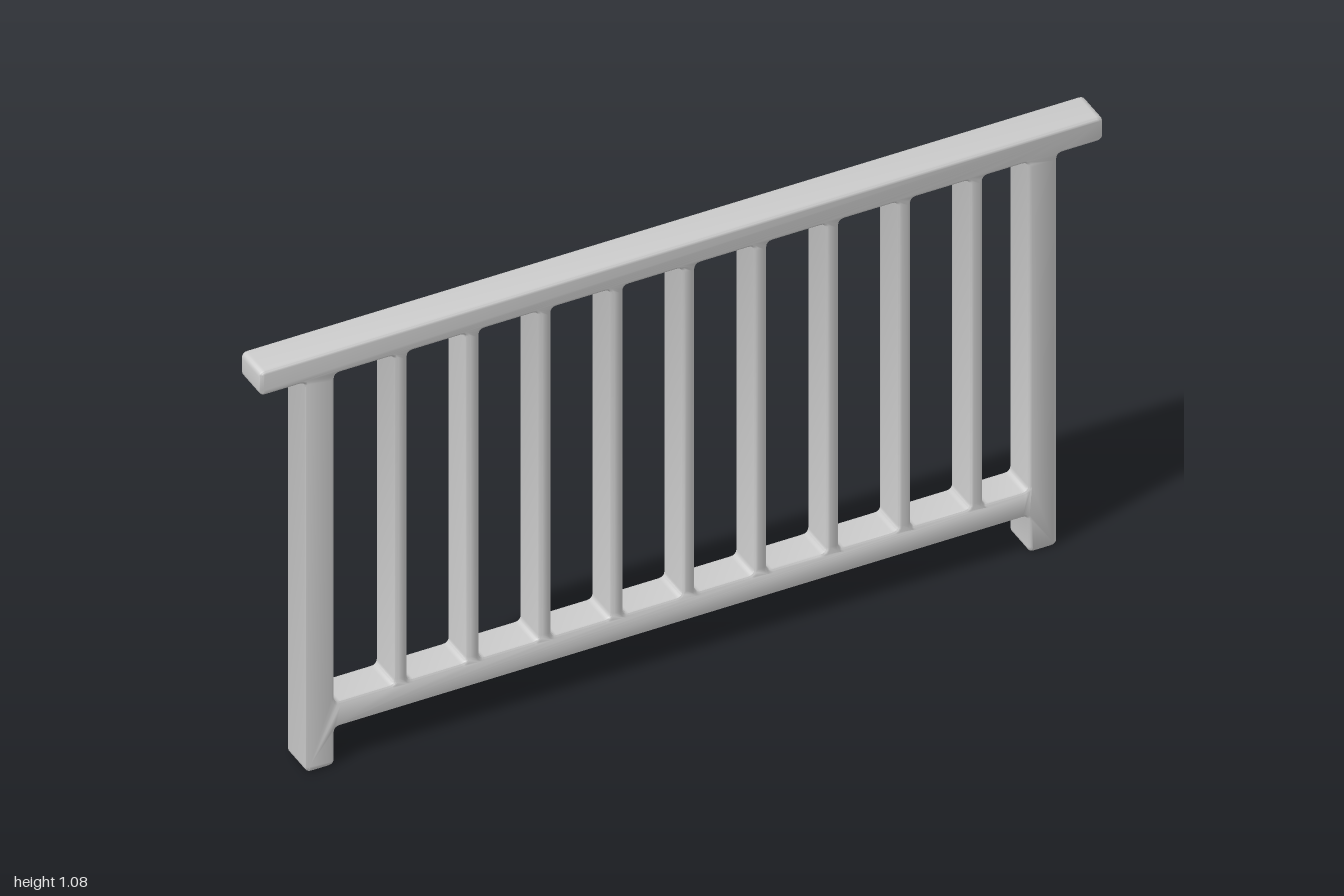
import * as THREE from 'three';
import { toCreasedNormals } from 'three/addons/utils/BufferGeometryUtils.js';

const HALF_DEPTH = 0.045, BEVEL = 0.008, FILLET = 0.014;

// Trace a closed polygon with every corner rounded
function roundedPath(path, corners) {
  const pts = corners.map(([x, y]) => new THREE.Vector2(x, y));
  const towards = (a, b) => a.clone().add(b.clone().sub(a).setLength(FILLET));
  pts.forEach((p, i) => {
    const before = towards(p, pts[(i + pts.length - 1) % pts.length]);
    const after = towards(p, pts[(i + 1) % pts.length]);
    if (i === 0) path.moveTo(before.x, before.y);
    else path.lineTo(before.x, before.y);
    path.quadraticCurveTo(p.x, p.y, after.x, after.y);
  });
  path.closePath();
  return path;
}

export function createModel() {
  const group = new THREE.Group();
  group.name = 'railing';
  const material = new THREE.MeshStandardMaterial({ color: 0xcccccc });

  const top = 1.077, topUnder = 1.015, lowTop = 0.16, lowUnder = 0.096;
  const postOut = 0.891, postIn = 0.823;

  // Silhouette: handrail, two posts and bottom rail in one piece
  const frame = roundedPath(new THREE.Shape(), [
    [-1, topUnder], [-postOut, topUnder], [-postOut, 0], [-postIn, 0],
    [-postIn, lowUnder], [postIn, lowUnder], [postIn, 0], [postOut, 0],
    [postOut, topUnder], [1, topUnder], [1, top], [-1, top],
  ]);

  // Openings between the nine balusters
  const count = 9, first = -0.665, step = 0.1706, halfWidth = 0.015;
  let left = -postIn;
  for (let i = 0; i <= count; i++) {
    const centre = first + i * step;
    const right = i < count ? centre - halfWidth : postIn;
    frame.holes.push(roundedPath(new THREE.Path(), [
      [left, lowTop], [left, topUnder], [right, topUnder], [right, lowTop],
    ]));
    left = centre + halfWidth;
  }

  // Extrude with softly rounded edges
  const geometry = new THREE.ExtrudeGeometry(frame, {
    depth: 2 * (HALF_DEPTH - BEVEL), curveSegments: 4,
    bevelEnabled: true, bevelThickness: BEVEL, bevelSize: BEVEL,
    bevelOffset: -BEVEL, bevelSegments: 3,
  });
  geometry.translate(0, 0, BEVEL - HALF_DEPTH);

  const mesh = new THREE.Mesh(toCreasedNormals(geometry, 0.8), material);
  mesh.name = 'railingFrame';
  group.add(mesh);
  return group;
}
